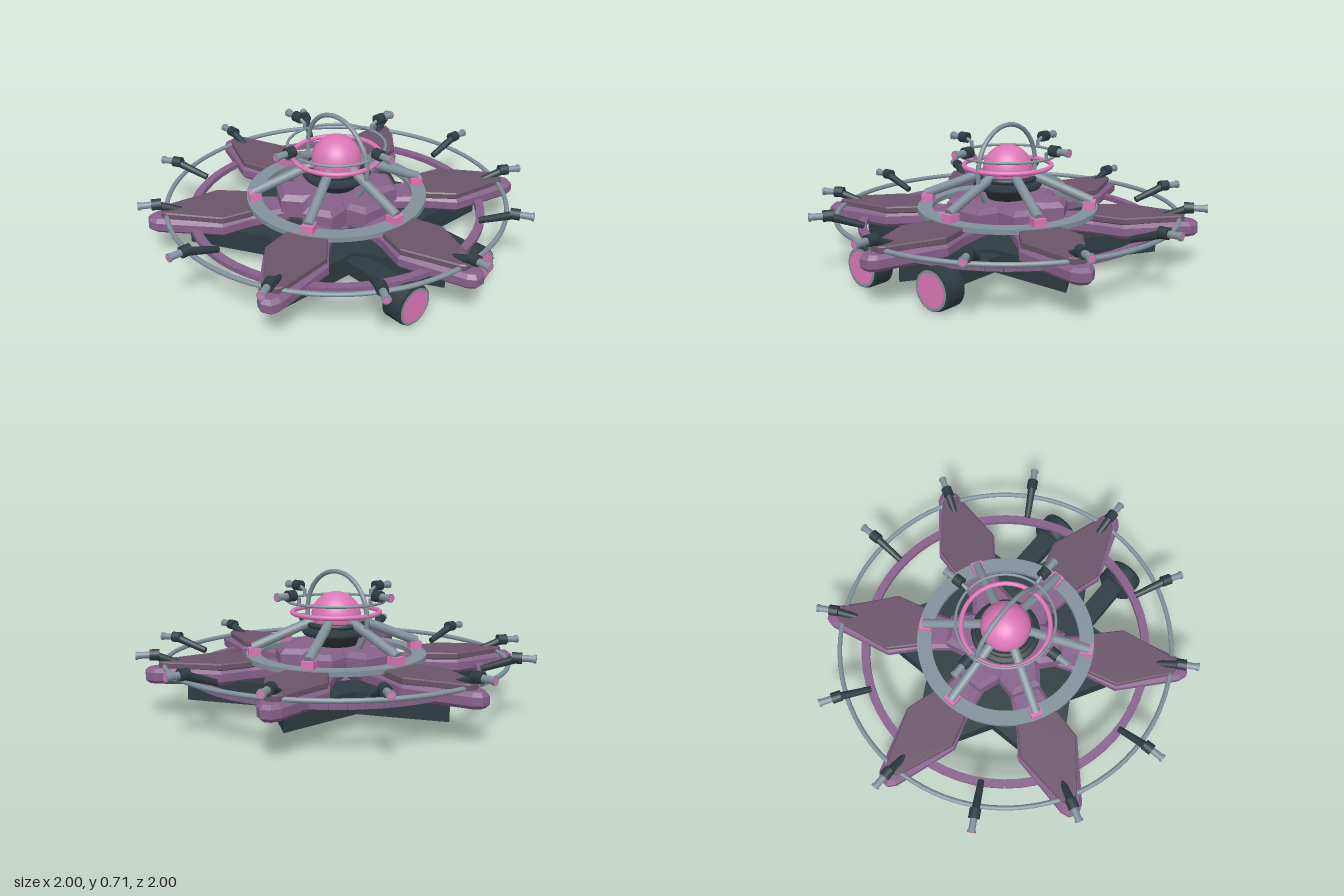
import * as THREE from 'three';

const material = (name, color) => {
  const m = new THREE.MeshStandardMaterial({ color });
  m.name = name;
  return m;
};

export function createModel() {
  const model = new THREE.Group();
  model.name = 'starPlatform';
  const pink = material('pink', 0xdb76b6);
  const purple = material('purple', 0x86608a);
  const plum = material('dark plum', 0x6a5468);
  const dark = material('dark slate', 0x2d3b41);
  const grey = material('steel grey', 0x80909b);

  const add = (parent, name, geometry, mat, x = 0, y = 0, z = 0) => {
    const mesh = new THREE.Mesh(geometry, mat);
    mesh.name = name;
    mesh.position.set(x, y, z);
    parent.add(mesh);
    return mesh;
  };

  // Horizontal slab between two heights, outline given as [x, z]
  const slab = (points, y0, y1, b = 0) => {
    const shape = new THREE.Shape(points.map(p => new THREE.Vector2(p[0], p[1])));
    const g = new THREE.ExtrudeGeometry(shape, {
      depth: y1 - y0 - 2 * b, bevelEnabled: b > 0, bevelSize: b,
      bevelThickness: b, bevelOffset: -b, bevelSegments: 1,
    });
    return g.rotateX(Math.PI / 2).translate(0, y1 - b, 0);
  };
  // Mirror one half of an outline, ordered from inside to tip
  const mirrored = half => [...half, ...half.slice().reverse().map(([x, z]) => [-x, z])];

  // Round bar between two points [x, y, z]
  const bar = (parent, name, a, b, r, mat, r2 = r) => {
    const p = new THREE.Vector3(...a), q = new THREE.Vector3(...b);
    const d = q.clone().sub(p);
    const mesh = add(parent, name, new THREE.CylinderGeometry(r2, r, d.length(), 16), mat);
    mesh.position.copy(p).add(q).multiplyScalar(0.5);
    mesh.quaternion.setFromUnitVectors(new THREE.Vector3(0, 1, 0), d.normalize());
    return mesh;
  };
  const ring = (name, radius, tube, y, mat) =>
    add(model, name, new THREE.TorusGeometry(radius, tube, 10, 96).rotateX(Math.PI / 2), mat, 0, y);
  const radial = (name, angle) => {
    const g = new THREE.Group();
    g.name = name;
    g.rotation.y = angle;
    model.add(g);
    return g;
  };

  // Six-pointed hull
  const star = [];
  for (let i = 0; i < 12; i++) {
    const r = i % 2 ? 0.436 : 0.755, a = i * Math.PI / 6;
    star.push([Math.sin(a) * r, Math.cos(a) * r]);
  }
  add(model, 'starHull', slab(star, 0.08, 0.19), dark);

  // Arms with top plates, hub lobes and struts
  const armShape = mirrored([[0.07, 0.22], [0.11, 0.45], [0.16, 0.6], [0.055, 0.92], [0.025, 0.955]]);
  const plateShape = mirrored([[0.09, 0.41], [0.11, 0.46], [0.15, 0.6], [0.045, 0.87], [0.025, 0.89]]);
  const lobeShape = mirrored([[0.11, 0.05], [0.11, 0.2], [0.075, 0.3]]);
  for (let i = 0; i < 6; i++) {
    const g = radial('arm', i * Math.PI / 3);
    add(g, 'armBody', slab(armShape, 0.18, 0.255, 0.018), purple);
    add(g, 'armPlate', slab(plateShape, 0.25, 0.285, 0.006), plum);
    add(g, 'hubLobe', slab(lobeShape, 0.19, 0.33, 0.025), purple);
    bar(g, 'strut', [0, 0.455, 0.12], [0, 0.33, 0.43], 0.024, grey);
    add(g, 'strutFoot', new THREE.BoxGeometry(0.06, 0.045, 0.06), pink, 0, 0.308, 0.42);
  }
  add(model, 'hub', new THREE.CylinderGeometry(0.2, 0.25, 0.14, 6).toNonIndexed(), purple, 0, 0.26);

  // Rings around the platform
  const band = new THREE.Shape();
  band.absarc(0, 0, 0.46, 0, Math.PI * 2);
  const hole = new THREE.Path();
  hole.absarc(0, 0, 0.385, 0, Math.PI * 2, true);
  band.holes.push(hole);
  add(model, 'innerRing', new THREE.ExtrudeGeometry(band, { depth: 0.025, bevelEnabled: false, curveSegments: 64 })
    .rotateX(Math.PI / 2), grey, 0, 0.291);
  ring('outerRing', 0.865, 0.012, 0.262, grey);
  for (let i = 0; i < 60; i++) {
    add(radial('trackLink', i * Math.PI / 30), 'link', new THREE.BoxGeometry(0.077, 0.025, 0.042), purple, 0, 0.207, 0.738);
  }

  // Guns: dark block, steel barrel, pink muzzle
  const gun = (g, y, start, tip) => {
    const step = start + (tip - start) * 0.42;
    bar(g, 'gunBlock', [0, y, start], [0, y, step], 0.028, dark);
    bar(g, 'gunBarrel', [0, y, step], [0, y, tip], 0.017, grey);
    bar(g, 'gunLip', [0, y, tip - 0.012], [0, y, tip], 0.021, grey);
    add(g, 'muzzle', new THREE.CircleGeometry(0.015, 16), pink, 0, y, tip + 0.001);
  };
  for (let i = 0; i < 12; i++) {
    const g = radial('outerGun', i * Math.PI / 6);
    bar(g, 'gunRod', [0, 0.25, 0.74], [0, 0.312, 0.91], 0.016, dark, 0.021);
    gun(g, 0.315, 0.885, 1);
  }
  for (let i = 0; i < 4; i++) {
    const g = radial('upperGun', i * Math.PI / 2);
    bar(g, 'gunPost', [0, 0.55, 0.246], [0, 0.59, 0.246], 0.009, grey);
    bar(g, 'gunStem', [0, 0.585, 0.246], [0, 0.605, 0.29], 0.009, grey);
    gun(g, 0.605, 0.275, 0.385);
  }

  // Central globe, its seat and cage
  add(model, 'globe', new THREE.SphereGeometry(0.127, 40, 28), pink, 0, 0.475);
  const seat = [[0, 0.32], [0.1, 0.32], [0.12, 0.38], [0.165, 0.385], [0.175, 0.4], [0.165, 0.415], [0.1, 0.42]];
  add(model, 'globeSeat', new THREE.LatheGeometry(seat.map(p => new THREE.Vector2(...p)), 40), dark);
  ring('globeCollar', 0.14, 0.014, 0.438, dark);
  ring('globeHalo', 0.222, 0.012, 0.498, pink);
  ring('gunRing', 0.246, 0.007, 0.556, grey);
  add(model, 'cageHoop', new THREE.TorusGeometry(0.223, 0.012, 10, 64).rotateY(Math.PI / 2), grey, 0, 0.48);

  // Front thrusters
  const pod = [[0, 0.66], [0.085, 0.66], [0.1, 0.675], [0.1, 0.765], [0.095, 0.78], [0, 0.78]];
  for (const s of [-1, 1]) {
    add(model, 'thruster', new THREE.LatheGeometry(pod.map(p => new THREE.Vector2(...p)), 36)
      .rotateX(Math.PI / 2), dark, s * 0.23, 0.103);
    add(model, 'thrusterRim', new THREE.RingGeometry(0.078, 0.092, 36), grey, s * 0.23, 0.103, 0.782);
    add(model, 'thrusterGlow', new THREE.CircleGeometry(0.079, 36), pink, s * 0.23, 0.103, 0.783);
    add(model, 'thrusterMount', new THREE.BoxGeometry(0.1, 0.07, 0.36), dark, s * 0.23, 0.135, 0.5);
  }
  return model;
}
